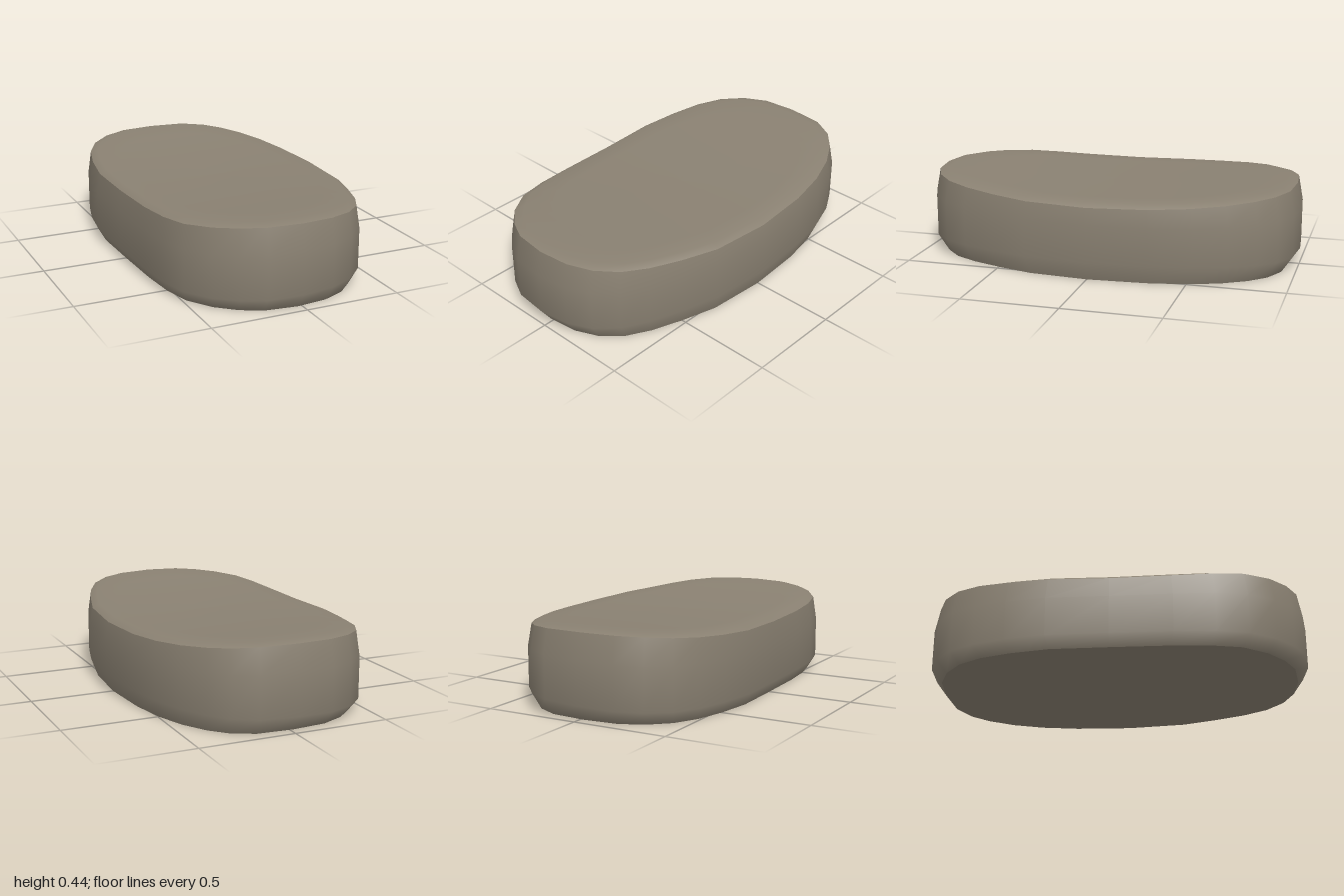
import * as THREE from 'three';

// Plan outline (x, z) at the widest level, from the back round by the left side
const outline = [
  [-0.02, -1], [0.18, -0.985], [0.30, -0.925], [0.385, -0.835], [0.465, -0.70], [0.525, -0.53], [0.565, -0.32],
  [0.587, 0], [0.562, 0.33], [0.505, 0.53], [0.445, 0.70], [0.375, 0.83], [0.275, 0.925], [0.15, 0.98],
  [-0.02, 1], [-0.2, 0.978], [-0.315, 0.92], [-0.42, 0.83], [-0.51, 0.695], [-0.55, 0.53], [-0.57, 0.32],
  [-0.582, 0], [-0.59, -0.32], [-0.56, -0.53], [-0.515, -0.70], [-0.445, -0.83], [-0.34, -0.925], [-0.21, -0.983],
];

// Skins a stack of rings; each ring is [outline scale, height rule (x, z)]
function loft(rings) {
  const n = outline.length, positions = [], index = [];
  for (const [scale, height] of rings) {
    for (const [x, z] of outline) positions.push(x * scale, height(x * scale, z * scale), z * scale);
  }
  for (let r = 0; r < rings.length - 1; r++) {
    for (let i = 0; i < n; i++) {
      const j = (i + 1) % n;
      const a = r * n + i, b = r * n + j, c = a + n, d = b + n;
      if (rings[r][0] > 0) index.push(a, c, b);
      if (rings[r + 1][0] > 0) index.push(b, c, d);
    }
  }
  const geometry = new THREE.BufferGeometry();
  geometry.setAttribute('position', new THREE.Float32BufferAttribute(positions, 3));
  geometry.setIndex(index);
  geometry.computeVertexNormals();
  return geometry;
}

export function createModel() {
  const stone = new THREE.MeshStandardMaterial({ color: 0x8a8172 });
  stone.name = 'warm grey stone';
  const group = new THREE.Group();
  group.name = 'stone';
  const add = (name, rings) => {
    const mesh = new THREE.Mesh(loft(rings), stone);
    mesh.name = name;
    group.add(mesh);
  };

  const ground = () => 0;
  const edge = (x, z) => 0.377 + 0.057 * z * z; // rim rises toward both ends
  const dish = (x, z) => 0.40 + 0.051 * z * z; // top sags along its length

  // Side wall, tucked in at the foot and slightly at the rim
  add('sideWall', [
    [0.943, ground],
    [1, (x) => 0.08 + 0.03 * x],
    [1, (x, z) => 0.28 + 0.02 * x + 0.02 * z * z],
    [0.975, edge],
  ]);
  // Dished top with a soft bevel round the rim
  add('top', [[0.975, edge], [0.92, dish], [0.75, dish], [0.5, dish], [0.25, dish], [0, dish]]);
  // Flat underside
  add('underside', [[0, ground], [0.943, ground]]);
  return group;
}
